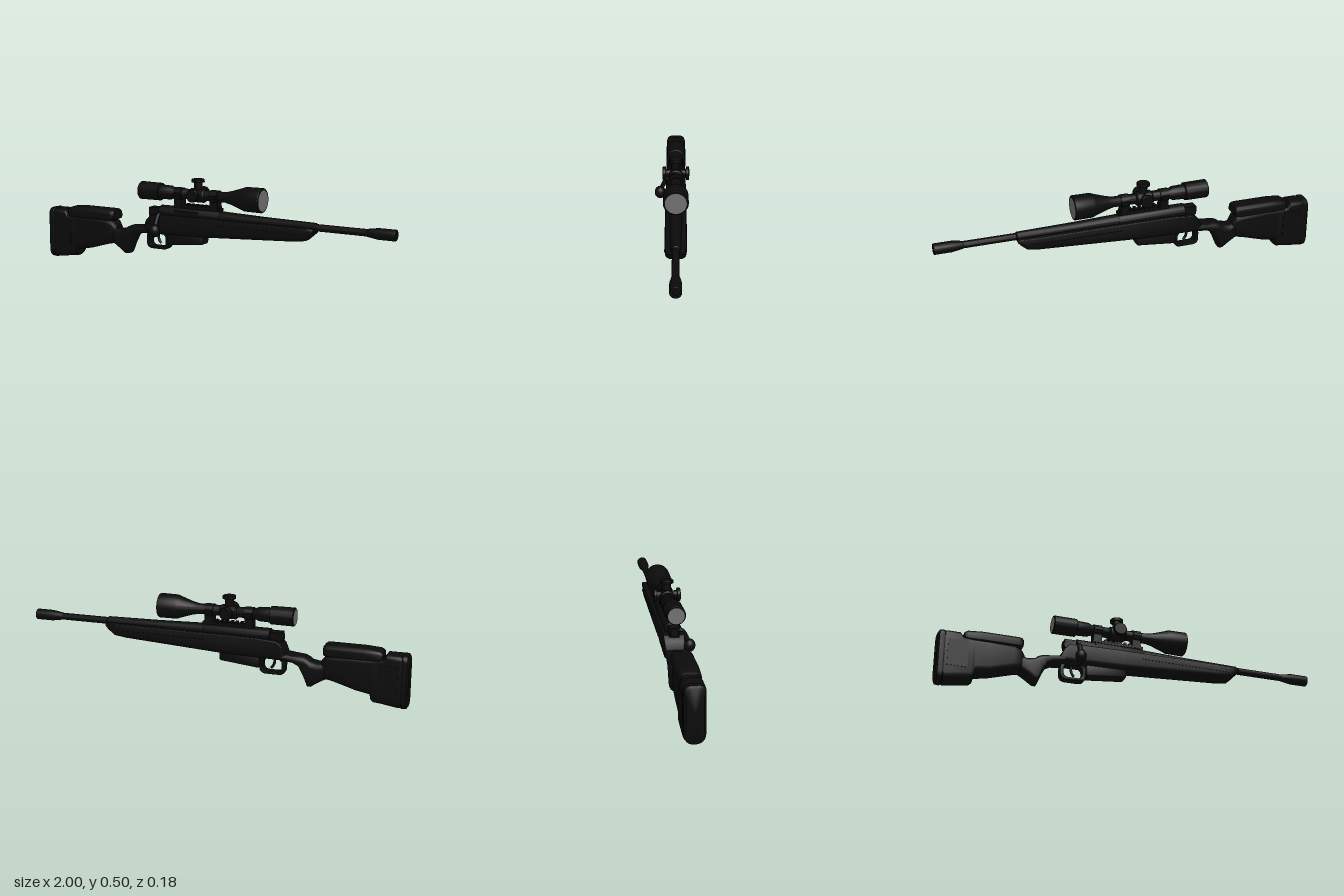
import * as THREE from 'three';
import { toCreasedNormals } from 'three/addons/utils/BufferGeometryUtils.js';

const black = new THREE.MeshStandardMaterial({ color: 0x0b0b0b });
black.name = 'matte black';
const glass = new THREE.MeshStandardMaterial({ color: 0x707070 });
glass.name = 'lens grey';

// Rounded-rectangle loft along x. Each section is [x, bottom, top, halfWidth].
function loft(sections, topRadius, bottomRadius) {
  const pos = [], index = [], steps = 6;
  for (const [x, bot, top, hw] of sections) {
    const limit = Math.min(hw, (top - bot) / 2) * 0.98;
    const rt = Math.min(topRadius, limit), rb = Math.min(bottomRadius, limit);
    const corners = [[1, top - rt, rt], [-1, top - rt, rt], [-1, bot + rb, rb], [1, bot + rb, rb]];
    corners.forEach(([side, cy, r], q) => {
      for (let i = 0; i <= steps; i++) {
        const a = (q + i / steps) * Math.PI / 2;
        pos.push(x, cy + r * Math.sin(a), side * (hw - r) + r * Math.cos(a));
      }
    });
  }
  const n = 4 * (steps + 1), last = sections.length - 1;
  for (let s = 0; s < last; s++) {
    for (let j = 0; j < n; j++) {
      const a = s * n + j, b = s * n + (j + 1) % n;
      index.push(a, a + n, b, a + n, b + n, b);
    }
  }
  // End caps
  for (const s of [0, last]) {
    const [x, bot, top] = sections[s], c = pos.length / 3;
    pos.push(x, (bot + top) / 2, 0);
    for (let j = 0; j < n; j++) {
      const a = s * n + j, b = s * n + (j + 1) % n;
      if (s === 0) index.push(c, a, b); else index.push(c, b, a);
    }
  }
  const g = new THREE.BufferGeometry();
  g.setAttribute('position', new THREE.Float32BufferAttribute(pos, 3));
  g.setIndex(index);
  return toCreasedNormals(g, 0.6);
}

// Turned part along x from [x, radius] points.
function turned(points, y) {
  const g = new THREE.LatheGeometry(points.map(([x, r]) => new THREE.Vector2(r, x)), 40);
  g.rotateZ(-Math.PI / 2);
  g.translate(0, y, 0);
  return toCreasedNormals(g, 0.5);
}

// Flat outline in the xy plane, extruded evenly about z = 0.
function plate(shape, width) {
  const g = new THREE.ExtrudeGeometry(shape, {
    depth: width - 0.008, bevelSize: 0.004, bevelThickness: 0.004, bevelOffset: -0.004, bevelSegments: 2, curveSegments: 10,
  });
  g.translate(0, 0, -width / 2 + 0.004);
  return toCreasedNormals(g, 0.6);
}

function roundedRect(path, x0, y0, x1, y1, r) {
  path.moveTo(x0 + r, y0);
  path.lineTo(x1 - r, y0);
  path.quadraticCurveTo(x1, y0, x1, y0 + r);
  path.lineTo(x1, y1 - r);
  path.quadraticCurveTo(x1, y1, x1 - r, y1);
  path.lineTo(x0 + r, y1);
  path.quadraticCurveTo(x0, y1, x0, y1 - r);
  path.lineTo(x0, y0 + r);
  path.quadraticCurveTo(x0, y0, x0 + r, y0);
  return path;
}

export function createModel() {
  const group = new THREE.Group();
  const body = new THREE.Group();
  body.name = 'rifle';
  body.position.z = -0.023;
  group.add(body);
  const add = (name, geometry, material = black) => {
    const mesh = new THREE.Mesh(geometry, material);
    mesh.name = name;
    body.add(mesh);
    return mesh;
  };
  const box = (name, w, h, d, x, y, z = 0) => add(name, new THREE.BoxGeometry(w, h, d)).position.set(x, y, z);

  // Stock
  add('recoilPad', loft([
    [-1, 0.02, 0.268, 0.04], [-0.992, 0.006, 0.28, 0.05], [-0.97, 0.004, 0.283, 0.052], [-0.962, 0.01, 0.28, 0.048],
  ], 0.03, 0.045));
  add('buttStock', loft([
    [-0.965, 0.01, 0.278, 0.05], [-0.955, 0.008, 0.28, 0.052], [-0.89, 0.017, 0.28, 0.052], [-0.875, 0.02, 0.258, 0.052],
    [-0.83, 0.024, 0.255, 0.051], [-0.817, 0.035, 0.255, 0.05], [-0.812, 0.062, 0.255, 0.05], [-0.74, 0.075, 0.255, 0.05],
    [-0.62, 0.11, 0.25, 0.049], [-0.585, 0.115, 0.24, 0.045], [-0.565, 0.12, 0.215, 0.035],
  ], 0.025, 0.042));
  add('cheekRest', loft([
    [-0.87, 0.25, 0.285, 0.044], [-0.855, 0.243, 0.295, 0.051], [-0.78, 0.243, 0.3, 0.053],
    [-0.6, 0.243, 0.3, 0.053], [-0.582, 0.245, 0.298, 0.05], [-0.575, 0.25, 0.292, 0.044],
  ], 0.024, 0.008));
  add('grip', loft([
    [-0.6, 0.12, 0.21, 0.03], [-0.58, 0.112, 0.208, 0.042], [-0.55, 0.096, 0.198, 0.046], [-0.51, 0.069, 0.205, 0.047],
    [-0.495, 0.07, 0.217, 0.047], [-0.475, 0.12, 0.226, 0.048], [-0.45, 0.17, 0.228, 0.048],
    [-0.42, 0.19, 0.228, 0.049], [-0.36, 0.195, 0.235, 0.05],
  ], 0.03, 0.035));
  add('foreStock', loft([
    [-0.385, 0.2, 0.225, 0.044], [-0.365, 0.195, 0.27, 0.05], [-0.34, 0.195, 0.295, 0.052], [-0.24, 0.197, 0.303, 0.052],
    [-0.04, 0.202, 0.306, 0.052], [0.48, 0.232, 0.306, 0.052], [0.54, 0.24, 0.306, 0.051],
    [0.575, 0.272, 0.306, 0.048], [0.588, 0.288, 0.302, 0.042],
  ], 0.006, 0.03));
  for (const side of [-1, 1]) {
    box('foreStockRib', 0.48, 0.006, 0.004, 0.29, 0.273, side * 0.052);
    box('buttPanel', 0.1, 0.14, 0.004, -0.9, 0.16, side * 0.052);
  }

  // Receiver, barrel and muzzle
  add('receiver', turned([
    [-0.365, 0], [-0.365, 0.018], [-0.355, 0.024], [-0.3, 0.026], [-0.295, 0.038], [0.05, 0.038], [0.06, 0.036], [0.06, 0],
  ], 0.31));
  add('barrel', turned([[0.04, 0], [0.04, 0.036], [0.3, 0.028], [0.585, 0.023], [0.59, 0.018], [0.88, 0.018]], 0.308));
  add('muzzleBrake', turned([
    [0.85, 0.018], [0.865, 0.021], [0.91, 0.028], [0.997, 0.028], [1, 0.026], [1, 0.011], [0.96, 0.011], [0.96, 0],
  ], 0.308));
  box('boltShroud', 0.1, 0.045, 0.05, -0.31, 0.312);
  box('ejectionPort', 0.14, 0.028, 0.006, -0.13, 0.318, 0.036);

  // Bolt handle
  const stem = new THREE.CatmullRomCurve3([
    new THREE.Vector3(-0.29, 0.305, 0.02), new THREE.Vector3(-0.29, 0.3, 0.046),
    new THREE.Vector3(-0.29, 0.27, 0.066), new THREE.Vector3(-0.29, 0.23, 0.083),
  ]);
  add('boltStem', new THREE.TubeGeometry(stem, 16, 0.012, 12));
  const knob = add('boltKnob', new THREE.SphereGeometry(0.029, 24, 16));
  knob.scale.y = 1.15;
  knob.position.set(-0.29, 0.223, 0.084);

  // Magazine, trigger and guard
  add('magazine', loft([
    [-0.245, 0.147, 0.21, 0.031], [-0.238, 0.143, 0.21, 0.034], [-0.04, 0.163, 0.21, 0.034], [-0.035, 0.167, 0.21, 0.031],
  ], 0.004, 0.01));
  const guard = roundedRect(new THREE.Shape(), -0.378, 0.114, -0.243, 0.21, 0.035);
  guard.holes.push(roundedRect(new THREE.Path(), -0.36, 0.129, -0.262, 0.194, 0.026));
  add('triggerGuard', plate(guard, 0.046));
  const trigger = new THREE.QuadraticBezierCurve3(
    new THREE.Vector3(-0.315, 0.2, 0), new THREE.Vector3(-0.325, 0.165, 0), new THREE.Vector3(-0.3, 0.142, 0));
  add('trigger', new THREE.TubeGeometry(trigger, 12, 0.007, 8));

  // Scope rail with teeth
  box('scopeRail', 0.27, 0.014, 0.04, -0.075, 0.35);
  for (let i = 0; i < 10; i++) box('railTooth', 0.014, 0.012, 0.042, -0.195 + i * 0.0265, 0.36);

  // Scope
  const sy = 0.412;
  add('scopeTube', turned([
    [-0.42, 0], [-0.42, 0.044], [-0.417, 0.047], [-0.298, 0.046], [-0.295, 0.038], [-0.235, 0.036], [-0.215, 0.027],
    [0.085, 0.027], [0.12, 0.035], [0.185, 0.056], [0.2, 0.062], [0.292, 0.063], [0.295, 0.061], [0.295, 0],
  ], sy + 0.005));
  const lens = (name, x, r, turn) => {
    const m = add(name, new THREE.CircleGeometry(r, 40), glass);
    m.rotation.y = turn * Math.PI / 2;
    m.position.set(x, sy + 0.003, 0);
  };
  lens('frontLens', 0.2965, 0.053, 1);
  lens('rearLens', -0.4215, 0.04, -1);
  for (const x of [-0.185, 0.025]) {
    add('scopeRing', turned([[x - 0.022, 0.02], [x - 0.022, 0.034], [x + 0.022, 0.034], [x + 0.022, 0.02]], sy + 0.003));
    box('ringFoot', 0.044, 0.05, 0.045, x, 0.37);
    for (const side of [-1, 1]) box('ringClamp', 0.044, 0.014, 0.016, x, sy + 0.003, side * 0.034);
  }

  // Adjustment turrets: top, left and right
  add('turretHousing', turned([[-0.125, 0.026], [-0.115, 0.036], [-0.04, 0.036], [-0.03, 0.026]], sy + 0.003));
  for (const turn of [0, -1, 1]) {
    const g = new THREE.LatheGeometry([[0.022, 0], [0.022, 0.05], [0.034, 0.052], [0.034, 0.065], [0.031, 0.068], [0, 0.068]]
      .map(([r, y]) => new THREE.Vector2(r, y + (turn === 0 ? 0.02 : 0))), 32);
    const m = add('turret', toCreasedNormals(g, 0.5));
    m.rotation.x = turn * Math.PI / 2;
    m.position.set(-0.077, sy + (turn === 0 ? 0 : 0.008), 0);
  }
  return group;
}
